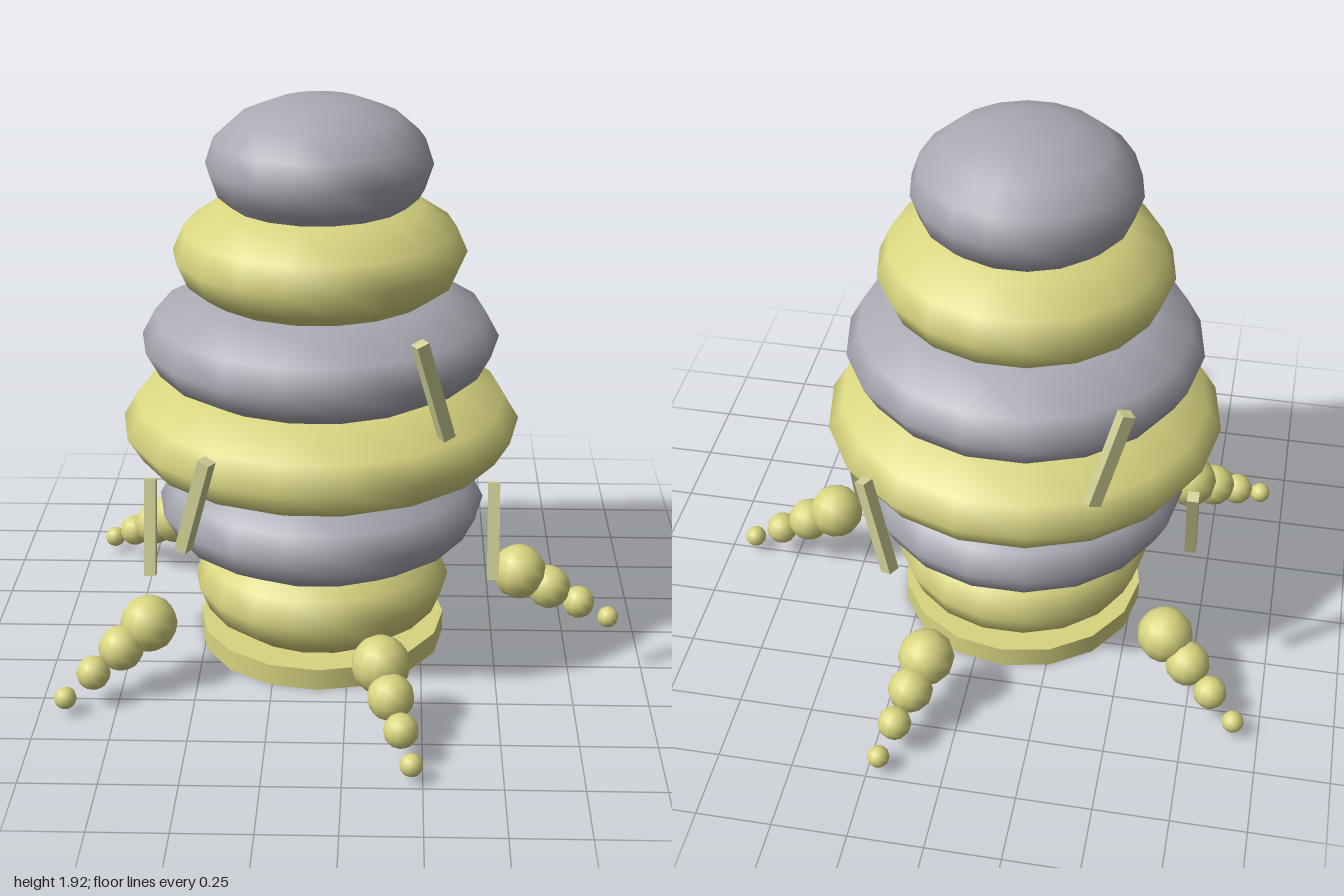
import * as THREE from 'three';

const paint = (name, color) => {
  const m = new THREE.MeshStandardMaterial({ color });
  m.name = name;
  return m;
};

export function createModel() {
  const yellow = paint('soft yellow', 0xd8d580);
  const grey = paint('cool grey', 0xa9a9b3);
  const pale = paint('pale straw', 0xd0d096);

  const model = new THREE.Group();
  model.name = 'segmentedBody';
  // everything is arranged around one vertical axis
  const axis = new THREE.Group();
  axis.name = 'bodyAxis';
  axis.position.x = -0.097;
  model.add(axis);

  const add = (parent, name, geometry, material, x, y, z) => {
    const mesh = new THREE.Mesh(geometry, material);
    mesh.name = name;
    mesh.position.set(x, y, z);
    parent.add(mesh);
    return mesh;
  };

  // Base disc
  add(axis, 'base', new THREE.CylinderGeometry(0.425, 0.425, 0.075, 16), yellow, 0, 0.0375, 0);

  // Stacked flattened segments, alternating in colour
  const segment = new THREE.SphereGeometry(1, 18, 8);
  [0.44, 0.555, 0.668, 0.595, 0.484, 0.37].forEach((radius, i) => {
    const mesh = add(axis, 'segment' + (i + 1), segment, i % 2 ? grey : yellow, 0, 0.23 + i * 0.294, 0);
    mesh.scale.set(radius, 0.22, radius);
  });

  // Five tentacles, each a descending row of shrinking beads
  const bead = new THREE.SphereGeometry(1, 12, 8);
  for (let i = 0; i < 5; i++) {
    const tentacle = new THREE.Group();
    tentacle.name = 'tentacle' + (i + 1);
    tentacle.rotation.y = -i * Math.PI * 2 / 5;
    for (let j = 0; j < 4; j++) {
      const mesh = add(tentacle, 'bead', bead, yellow, 0.69 + j * 0.106, 0.235 - j * 0.059, 0);
      mesh.scale.setScalar(0.095 - j * 0.0193);
    }
    axis.add(tentacle);
  }

  // Six floating bars at three heights, leaning alternately sideways
  const bar = new THREE.BoxGeometry(0.04, 0.337, 0.042);
  for (let i = 0; i < 6; i++) {
    const arm = new THREE.Group();
    arm.name = 'barMount' + (i + 1);
    arm.rotation.y = -i * Math.PI / 3;
    const y = [0.39, 1.165, 0.775][i % 3];
    const mesh = add(arm, 'bar', bar, pale, i % 3 ? 0.733 : 0.597, y, 0);
    mesh.rotation.x = i % 2 ? 0.3 : -0.3;
    axis.add(arm);
  }
  return model;
}
